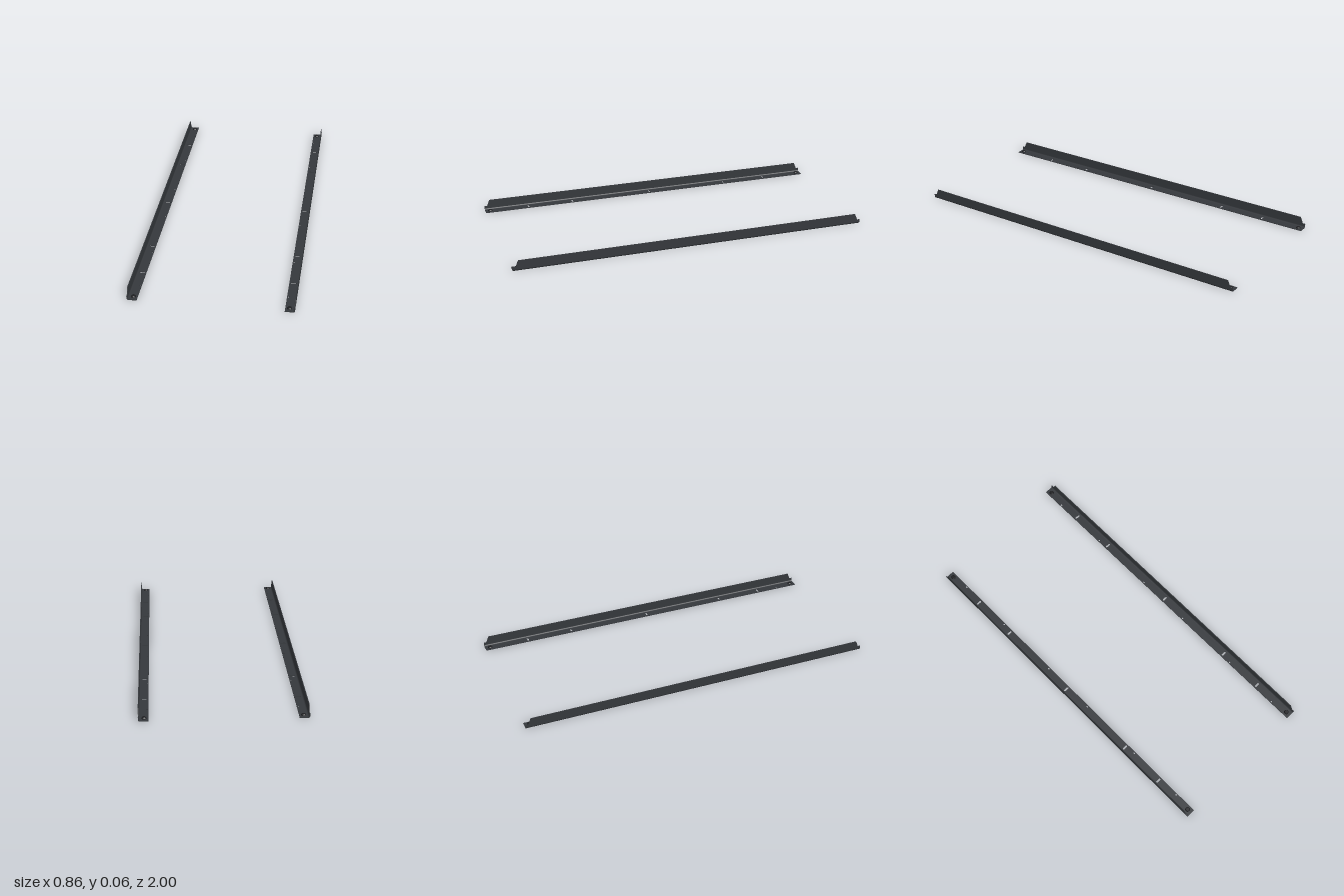
import * as THREE from 'three';
import { toCreasedNormals } from 'three/addons/utils/BufferGeometryUtils.js';

const T = 0.004;      // sheet thickness
const R = 0.01;       // outer bend radius
const INNER = 0.378;  // free edge of the base flange
const OUTER = 0.43;   // outer face of the wall
const H = 0.06;       // wall height

const steel = new THREE.MeshStandardMaterial({ color: 0x35383c });
const dark = new THREE.MeshStandardMaterial({ color: 0x1d1e21 });

function polygon(points) {
  return new THREE.Shape(points.map(([x, y]) => new THREE.Vector2(x, y)));
}

// Rounded slot along x
function slotHole(cx, cy, length, width) {
  const r = width / 2, h = length / 2 - r;
  const hole = new THREE.Path();
  hole.absarc(cx + h, cy, r, -Math.PI / 2, Math.PI / 2, false);
  hole.absarc(cx - h, cy, r, Math.PI / 2, Math.PI * 1.5, false);
  hole.closePath();
  return hole;
}

function extrude(shape, depth) {
  return new THREE.ExtrudeGeometry(shape, { depth, bevelEnabled: false, curveSegments: 8 });
}

function add(group, name, geometry, material = steel) {
  const mesh = new THREE.Mesh(geometry, material);
  mesh.name = name;
  group.add(mesh);
  return mesh;
}

function makeRail(name) {
  const rail = new THREE.Group();
  rail.name = name;

  // Base flange with cross slots and small holes near the free edge
  const base = polygon([[INNER, -1], [OUTER - R, -1], [OUTER - R, 1], [INNER, 1]]);
  for (const z of [-0.745, -0.48, 0, 0.48, 0.745]) base.holes.push(slotHole(0.4, z, 0.03, 0.011));
  for (const z of [-0.87, -0.54, -0.16, 0.16, 0.54, 0.87]) {
    const hole = new THREE.Path();
    hole.absellipse(0.386, z, 0.004, 0.006, 0, Math.PI * 2, true);
    base.holes.push(hole);
  }
  add(rail, 'baseFlange', extrude(base, T).rotateX(Math.PI / 2).translate(0, T, 0));

  // Rounded bend between flange and wall
  const bend = new THREE.Shape();
  bend.absarc(OUTER - R, R, R, -Math.PI / 2, 0, false);
  bend.absarc(OUTER - R, R, R - T, 0, -Math.PI / 2, true);
  bend.closePath();
  add(rail, 'bend', toCreasedNormals(extrude(bend, 2).translate(0, 0, -1), 0.6));

  // Upright wall, stepped down with a slope at both ends
  const wall = polygon([
    [-1, R], [1, R], [1, 0.024], [0.985, 0.024], [0.97, H],
    [-0.97, H], [-0.985, 0.024], [-1, 0.024],
  ]);
  add(rail, 'wall', extrude(wall, T).rotateY(Math.PI / 2).translate(OUTER - T, 0, 0));

  // Fastener near each end
  for (const z of [-0.972, 0.972]) {
    const profile = [[0, 0.012], [0.009, 0.012], [0.013, 0.006], [0.013, T]]
      .reverse().map(([x, y]) => new THREE.Vector2(x, y));
    const head = toCreasedNormals(new THREE.LatheGeometry(profile, 20), 0.5);
    add(rail, 'fastener', head, dark).position.set(0.4, 0, z);
  }
  return rail;
}

export function createModel() {
  const model = new THREE.Group();
  model.name = 'mountingRails';
  const left = makeRail('leftRail');
  // Each rail is symmetric along z, so a half turn gives its mirror image
  const right = makeRail('rightRail');
  right.rotation.y = Math.PI;
  model.add(left, right);
  return model;
}
